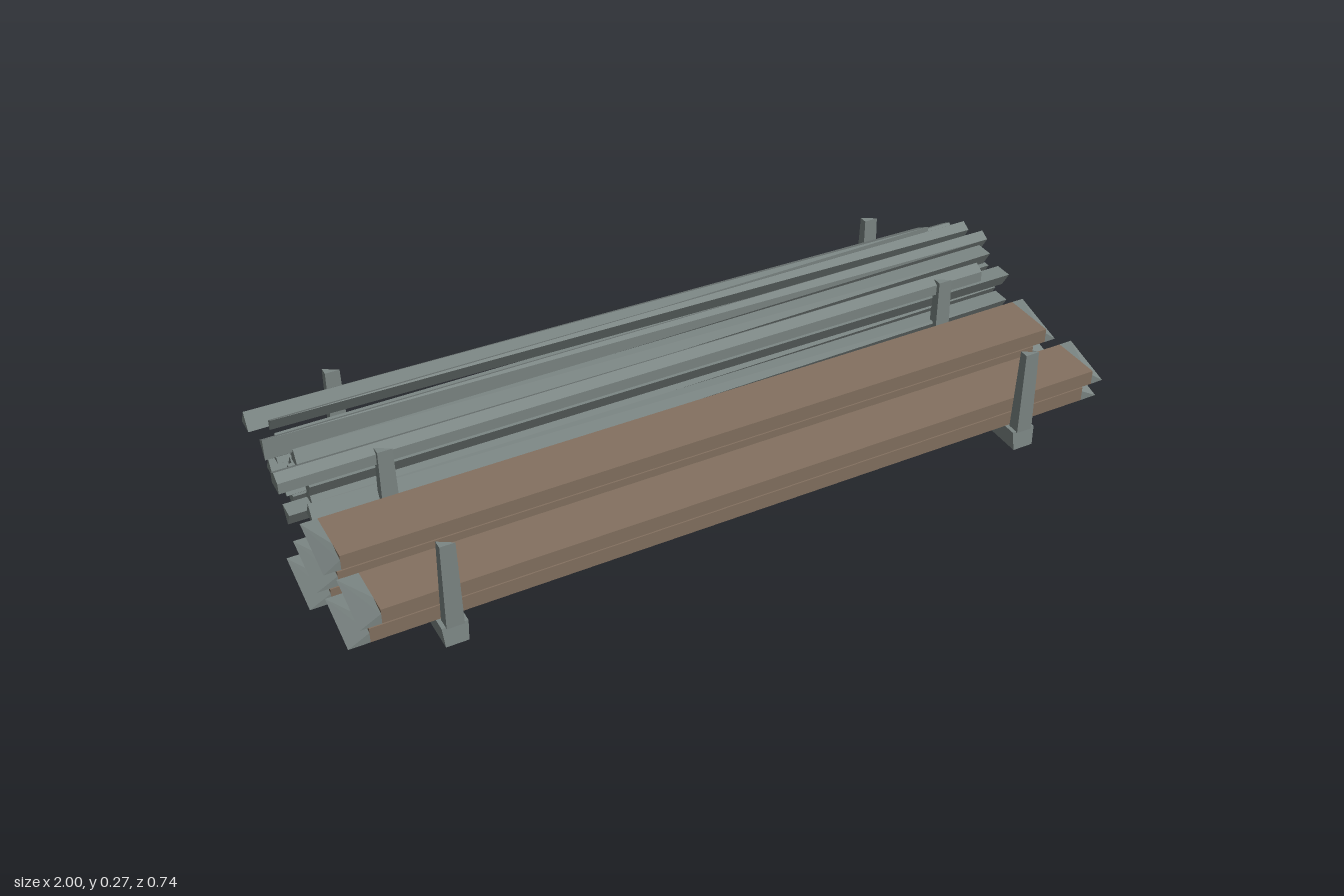
import * as THREE from 'three';
import { ConvexGeometry } from 'three/addons/geometries/ConvexGeometry.js';

const steel = new THREE.MeshStandardMaterial({ color: 0x7c8684, flatShading: true });
steel.name = 'grey metal';
const wood = new THREE.MeshStandardMaterial({ color: 0x847160, flatShading: true });
wood.name = 'brown wood';

// Faceted solid wrapped around [x, y, z] corners
function hull(name, corners, material) {
  const g = new ConvexGeometry(corners.map((c) => new THREE.Vector3(...c)));
  const mesh = new THREE.Mesh(g, material);
  mesh.name = name;
  return mesh;
}

// Eight corners of a box standing at height y whose top has its own size
function boxCorners(y, h, bottomX, bottomZ, topX, topZ) {
  const corners = [];
  for (const sx of [-0.5, 0.5]) {
    for (const sz of [-0.5, 0.5]) {
      corners.push([sx * bottomX, y, sz * bottomZ], [sx * topX, y + h, sz * topZ]);
    }
  }
  return corners;
}

// Plank with straight brown body and a grey splinter on each end
function plank(z0, z1, y0, y1, tipL, x0, x1, tipR) {
  const group = new THREE.Group();
  group.name = 'plank';
  const body = new THREE.Mesh(new THREE.BoxGeometry(x1 - x0, y1 - y0, z1 - z0), wood);
  body.name = 'plankBody';
  body.position.set((x0 + x1) / 2, (y0 + y1) / 2, (z0 + z1) / 2);
  group.add(body);
  // splinter: two opposite corners cut off, the other two drawn out to the tip
  const cz = (z1 - z0) * 0.32, cy = (y1 - y0) * 0.3;
  const section = [
    [y0, z1], [y0, z0 + cz], [y0 + cy, z0],
    [y1, z0], [y1, z1 - cz], [y1 - cy, z1],
  ];
  for (const [name, base, tip] of [['rightSplinter', x0, tipL], ['leftSplinter', x1, tipR]]) {
    const corners = section.map(([y, z]) => [base, y, z]);
    corners.push([tip, y0, z1], [tip, y1, z0]);
    group.add(hull(name, corners, steel));
  }
  return group;
}

// Hexagon corners of a rod section by number, 0 at the top, then towards the
// front: 0 top, 1 upper front, 2 lower front, 3 bottom, 4 lower back, 5 upper back
function rod(y, z, x0, x1, leftSet, rightSet) {
  const r = 0.0278;
  const corner = (x) => (digit) => {
    const a = (Number(digit) / 6) * Math.PI * 2;
    return [x, y + Math.cos(a) * r, z + Math.sin(a) * r];
  };
  const corners = [...leftSet].map(corner(x0)).concat([...rightSet].map(corner(x1)));
  return hull('rod', corners, steel);
}

export function createModel() {
  const model = new THREE.Group();
  model.name = 'lumberRack';

  // two cross beams, each with three posts cut to a slanting blade at the top
  for (const side of [-1, 1]) {
    const rack = new THREE.Group();
    rack.name = side > 0 ? 'leftRack' : 'rightRack';
    rack.position.x = side * 0.742;
    rack.add(hull('crossBeam', boxCorners(0, 0.05, 0.054, 0.742, 0.062, 0.73), steel));
    for (const z of [0.353, -0.009, -0.353]) {
      const corners = boxCorners(0.048, 0.222, 0.042, 0.032, 0.036, 0.022)
        .filter(([x, y, cz]) => !(y > 0.1 && x > 0 && cz < 0));
      const post = hull('post', corners, steel);
      post.position.z = z;
      rack.add(post);
    }
    model.add(rack);
  }

  // planks in two stacks: [zMin, zMax, level, leftTip, bodyStart, bodyEnd, rightTip]
  const planks = new THREE.Group();
  planks.name = 'planks';
  for (const [z0, z1, level, ...xs] of [
    [0.2, 0.333, 0, -0.97, -0.92, 0.94, 0.985],
    [0.2, 0.333, 1, -0.94, -0.89, 0.965, 1.0],
    [0.034, 0.177, 0, -1.0, -0.95, 0.91, 0.96],
    [0.034, 0.177, 1, -0.98, -0.93, 0.9, 0.95],
    [0.034, 0.177, 2, -0.96, -0.92, 0.935, 0.967],
  ]) {
    const y = 0.05 + level * 0.041;
    planks.add(plank(z0, z1, y, y + 0.038, ...xs));
  }
  model.add(planks);

  // roughly hewn rods in four staggered rows, front to back:
  // [start, end, corners at start, corners at end]
  const rods = new THREE.Group();
  rods.name = 'rods';
  const rows = [
    [[-0.9, 0.95, '135', '135'], [-0.95, 0.9, '135', '135'], [-0.92, 0.94, '135', '135'],
      [-0.9, 0.96, '024', '135'], [-0.93, 0.92, '024', '024']],
    [[-0.92, 0.95, '024', '135'], [-0.9, 0.96, '024', '135'], [-0.94, 0.93, '024', '135'],
      [-0.9, 0.95, '024', '135'], [-0.92, 0.94, '024', '124']],
    [[-0.91, 0.97, '135', '135'], [-0.93, 0.95, '024', '135'], [-0.9, 0.98, '024', '135'],
      [-0.92, 0.985, '024', '135'], [-0.91, 0.97, '154', '015']],
    [[-0.985, 0.86, '01245', '0123'], [-0.92, 0.93, '024', '135'], [-0.97, 0.965, '035', '013'],
      [-0.93, 0.95, '045', '013'], [-0.975, 0.865, '024', '124']],
  ];
  rows.forEach((row, r) => row.forEach((spec, k) => {
    const z = (r % 2 ? -0.032 : -0.058) - k * 0.0622;
    rods.add(rod(0.08 + r * 0.0552, z, ...spec));
  }));
  model.add(rods);

  return model;
}
